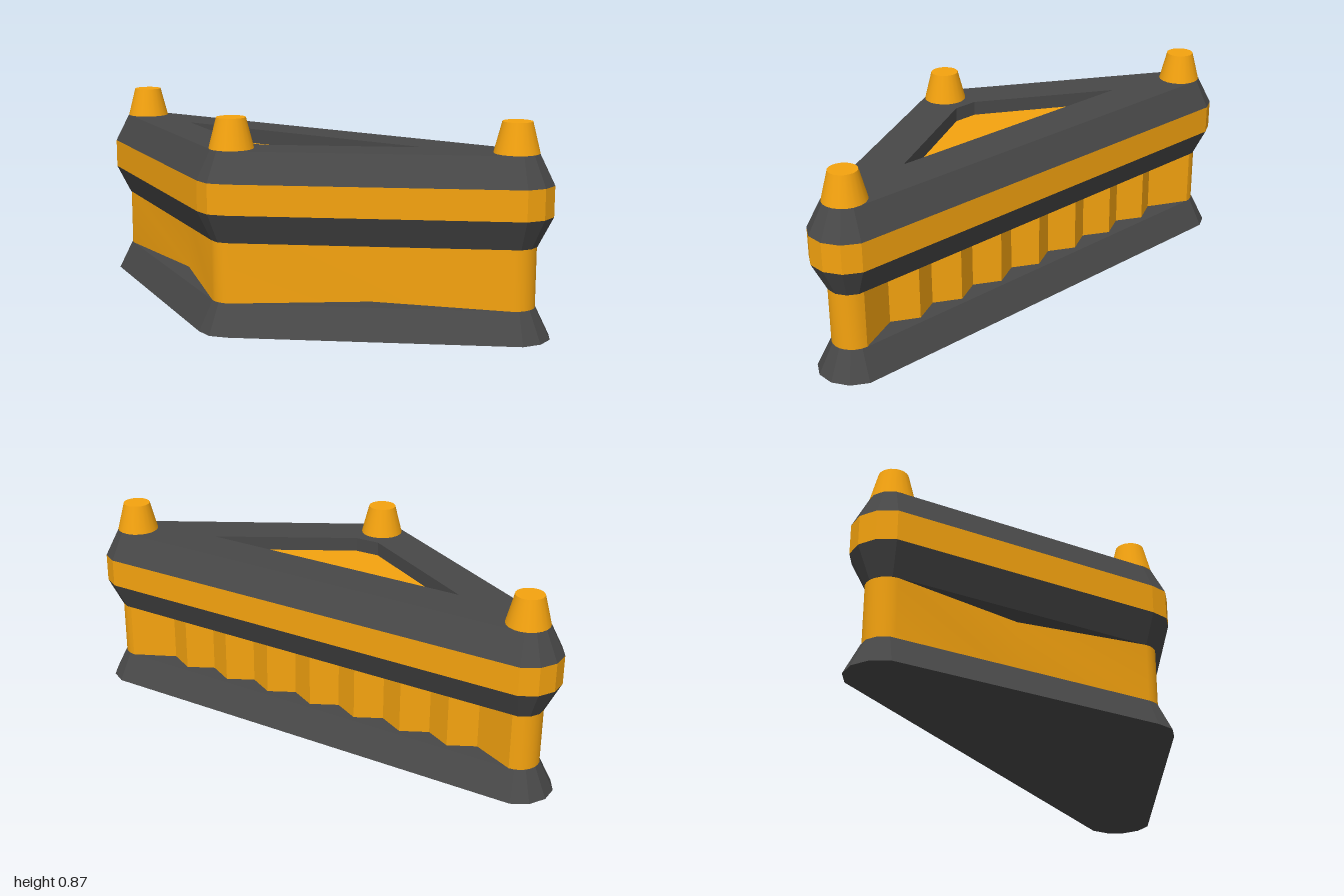
import * as THREE from 'three';
import { mergeGeometries, toCreasedNormals } from 'three/addons/utils/BufferGeometryUtils.js';

const rad = THREE.MathUtils.degToRad;
const V = (x, z) => new THREE.Vector2(x, z); // plan points: x, z

// Corner posts of the triangular plan
const A = V(-0.49, -0.85), B = V(-0.49, 0.28), C = V(0.49, 0.85);

const around = (c, r, deg) => V(c.x + r * Math.cos(rad(deg)), c.y + r * Math.sin(rad(deg)));

// Faceted plan outline at distance r from the corner posts
function outline(r) {
  const R = r / Math.cos(rad(15));
  return [
    ...[-15, 15, 45, 75, 105].map(a => around(C, R, a)),
    around(B, r, 120), around(B, R, 150), around(B, r, 180),
    ...[195, 225, 255, 285, 315].map(a => around(A, R, a)),
  ];
}

// Flat-shaded side walls between two outlines
function walls(low, y0, high, y1) {
  const pos = [];
  low.forEach((p, i) => {
    const j = (i + 1) % low.length, q = low[j], P = high[i], Q = high[j];
    pos.push(p.x, y0, p.y, P.x, y1, P.y, q.x, y0, q.y);
    pos.push(q.x, y0, q.y, P.x, y1, P.y, Q.x, y1, Q.y);
  });
  const g = new THREE.BufferGeometry();
  g.setAttribute('position', new THREE.Float32BufferAttribute(pos, 3));
  g.computeVertexNormals();
  return g;
}

// Horizontal face, facing up or down, with an optional hole
function cap(pts, y, up = true, hole) {
  const flip = list => list.map(p => V(p.x, up ? -p.y : p.y));
  const shape = new THREE.Shape(flip(pts));
  if (hole) shape.holes.push(new THREE.Path(flip(hole)));
  const g = new THREE.ShapeGeometry(shape).toNonIndexed();
  g.deleteAttribute('uv');
  return g.rotateX(up ? -Math.PI / 2 : Math.PI / 2).translate(0, y, 0);
}

// Closed plate whose margin goes from r0 at y0 to r1 at y1
function plate(r0, y0, r1, y1) {
  const low = outline(r0), high = outline(r1);
  return mergeGeometries([walls(low, y0, high, y1), cap(low, y0, false), cap(high, y1)]);
}

// Core plan: round corners, two notched short sides and a zigzag long side
function coreOutline(r) {
  const arc = (c, from, to, n) =>
    Array.from({ length: n + 1 }, (_, i) => around(c, r, from + (to - from) * i / n));
  const mid = (p, q) => p.clone().lerp(q, 0.5);
  const along = C.clone().sub(A), length = along.length();
  along.normalize();
  const out = V(along.y, -along.x);
  const start = 0.185, teeth = 7, step = (length - 2 * start) / (2 * teeth);
  const zigzag = [];
  for (let i = 0; i <= 2 * teeth; i++) {
    zigzag.push(A.clone().addScaledVector(along, start + i * step)
      .addScaledVector(out, i % 2 ? 0.06 : 0));
  }
  return [
    ...arc(C, -30, 120, 10), mid(B, C),
    ...arc(B, 120, 180, 4), mid(A, B),
    ...arc(A, 180, 330, 10), ...zigzag,
  ];
}

export function createModel() {
  const model = new THREE.Group();
  const orange = new THREE.MeshStandardMaterial({ color: 0xf5a30f });
  const dark = new THREE.MeshStandardMaterial({ color: 0x484848 });
  const add = (name, geometry, material) => {
    const mesh = new THREE.Mesh(geometry, material);
    mesh.name = name;
    model.add(mesh);
    return mesh;
  };

  const wide = 0.15, narrow = 0.09, top = 0.747;

  // Stacked plates
  add('basePlate', plate(wide, 0, narrow, 0.125), dark);
  add('lowerCollar', plate(narrow, 0.375, wide, 0.5), dark);
  add('band', plate(wide, 0.5, wide, 0.625), orange);

  // Core with notched and zigzag walls
  const coreShape = new THREE.Shape(coreOutline(narrow).map(p => V(p.x, -p.y)));
  const core = new THREE.ExtrudeGeometry(coreShape, { depth: 0.25, bevelEnabled: false })
    .rotateX(-Math.PI / 2).translate(0, 0.125, 0);
  add('core', toCreasedNormals(core, rad(20)), orange);

  // Top cover with a recessed panel
  const hole = [V(0.22, 0.58), V(-0.342, 0.257), V(-0.4, 0.162), V(-0.4, -0.496)];
  const rim = [...hole].reverse();
  const panelY = 0.685;
  add('topCover', mergeGeometries([
    walls(outline(wide), 0.625, outline(narrow), top),
    cap(outline(narrow), top, true, hole),
    walls(rim, panelY, rim, top),
  ]), dark);
  add('recessedPanel', cap(hole, panelY), orange);

  // Tapered pegs over the corners
  const pegGeometry = new THREE.CylinderGeometry(0.06, 0.092, 0.125, 20);
  for (const [name, p] of [['backPeg', A], ['rightPeg', B], ['frontPeg', C]]) {
    add(name, pegGeometry, orange).position.set(p.x, top + 0.0625, p.y);
  }
  return model;
}
